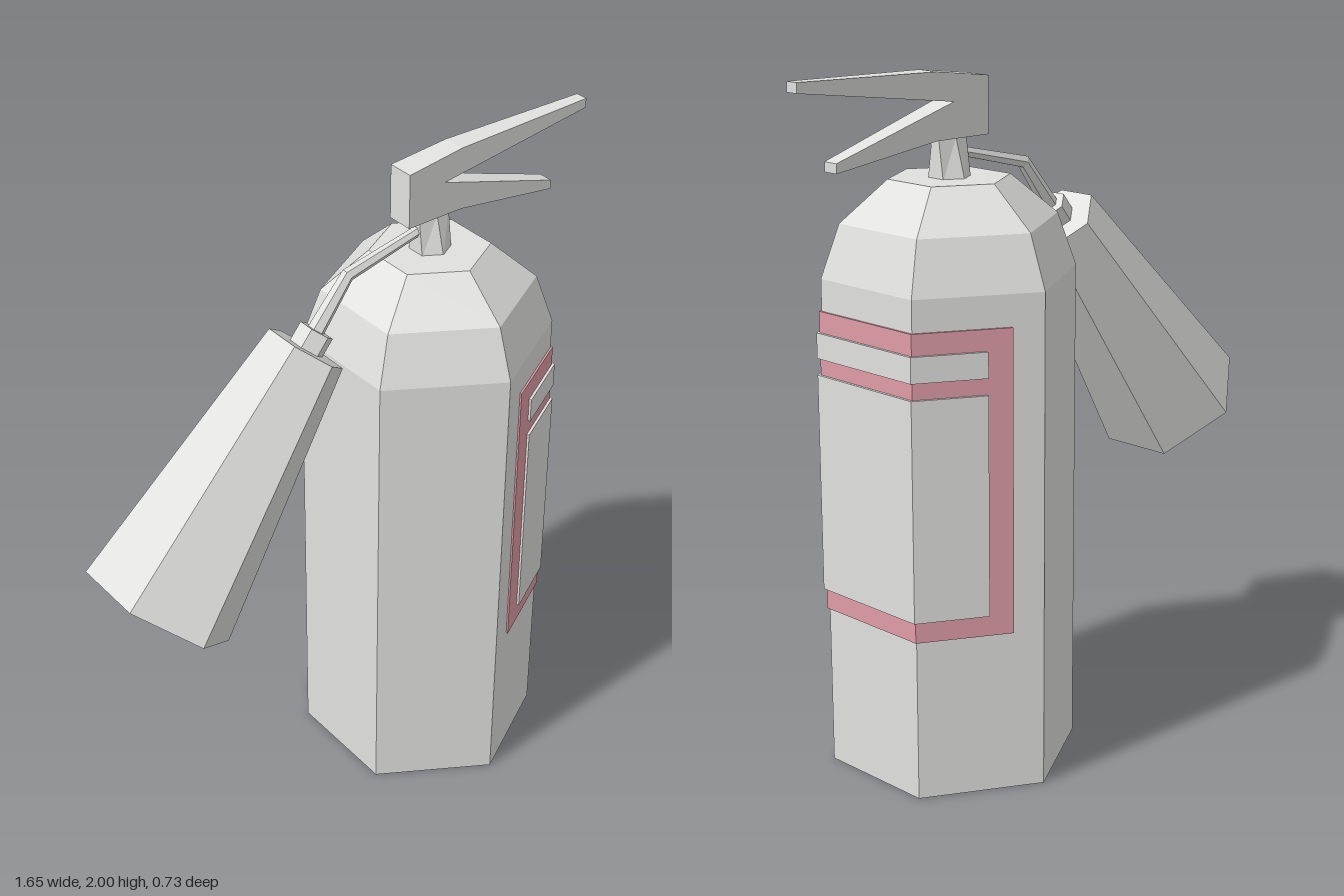
import * as THREE from 'three';

const grey = new THREE.MeshStandardMaterial({ color: 0xe0e0de });
grey.name = 'pale grey';
const pink = new THREE.MeshStandardMaterial({ color: 0xe09ca7 });
pink.name = 'label pink';

const CX = 0.28, R = 0.363, APOTHEM = R * Math.cos(Math.PI / 6), TAN30 = Math.tan(Math.PI / 6);

// Faceted mesh: every face gets its own normal
function part(name, geometry, material = grey) {
  const g = geometry.index ? geometry.toNonIndexed() : geometry;
  g.computeVertexNormals();
  const mesh = new THREE.Mesh(g, material);
  mesh.name = name;
  return mesh;
}

const hex = (rTop, rBottom, height, rows = 1) => new THREE.CylinderGeometry(rTop, rBottom, height, 6, rows);

// Point (x, z) on the front-side face of the tank, pushed out by d
const onFace = (x, d) => [x, (R + d / Math.cos(Math.PI / 6)) - (x - CX) * TAN30];

function plate(name, points, y0, y1, material) {
  const shape = new THREE.Shape(points.map(p => new THREE.Vector2(p[0], p[1])));
  const g = new THREE.ExtrudeGeometry(shape, { depth: y1 - y0, bevelEnabled: false });
  g.rotateX(-Math.PI / 2).translate(0, y0, 0);
  return part(name, g, material);
}

// Band wrapped over three tank faces, starting and ending at x0
function band(name, x0, y0, y1, d, material) {
  const path = k => {
    const half = [onFace(x0, k), onFace(CX + APOTHEM + k, k)];
    return [...half, ...half.map(([x, z]) => [x, -z]).reverse()];
  };
  return plate(name, [...path(d), ...path(-0.002).reverse()], y0, y1, material);
}

function createLabel() {
  const label = new THREE.Group();
  label.name = 'label';
  const d = 0.006, outer = 0.36, inner = 0.425;
  for (const [y0, y1] of [[0.47, 0.53], [1.16, 1.207], [1.28, 1.34]])
    label.add(band('labelBar', outer, y0, y1, d, pink));
  // Upright ends of the frame
  for (const s of [1, -1]) {
    const pts = [onFace(outer, d), onFace(inner, d), onFace(inner, -0.002), onFace(outer, -0.002)];
    for (const [y0, y1] of [[0.53, 1.16], [1.207, 1.28]])
      label.add(plate('labelSide', pts.map(([x, z]) => [x, z * s]), y0, y1, pink));
  }
  // Raised blank panels
  label.add(band('labelPanel', inner, 0.53, 1.16, 0.014, grey));
  label.add(band('labelHeading', inner, 1.207, 1.28, 0.014, grey));
  return label;
}

function createTank() {
  const profile = [[0, 0], [R, 0], [R, 1.43], [0.309, 1.58], [0.173, 1.695], [0, 1.695]];
  const g = new THREE.LatheGeometry(profile.map(p => new THREE.Vector2(...p)), 6);
  const tank = part('tank', g);
  tank.position.x = CX;
  return tank;
}

// Valve neck, pinched in z towards the top
function createNeck() {
  const g = hex(0.06, 0.06, 0.115);
  const p = g.attributes.position;
  for (let i = 0; i < p.count; i++) if (p.getY(i) > 0) p.setZ(i, p.getZ(i) * 0.45);
  g.translate(CX, 1.7475, 0);
  return part('valveNeck', g);
}

// Forked grip, narrowing towards the lever tips
function createHandle() {
  const outline = [[0.17, 1.803], [0.36, 1.803], [0.703, 1.755], [0.703, 1.782], [0.296, 1.903],
    [0.823, 1.972], [0.823, 2], [0.355, 1.988], [0.17, 1.964]];
  const shape = new THREE.Shape(outline.map(p => new THREE.Vector2(...p)));
  const g = new THREE.ExtrudeGeometry(shape, { depth: 2, bevelEnabled: false }).translate(0, 0, -1);
  const p = g.attributes.position;
  for (let i = 0; i < p.count; i++) p.setZ(i, p.getZ(i) * (0.042 - (p.getX(i) - 0.17) * 0.034));
  return part('handle', g);
}

// Hose: rings of a hexagonal tube placed along a bent path with a mitred joint
function createHose() {
  const rings = [
    { at: [-0.125, 1.555], n: [0.78, -0.62], r: 0.026 },
    { at: [-0.008, 1.702], n: [0.55, -0.9], r: 0.019 },
    { at: [0.24, 1.761], n: [0.23, -0.97], r: 0.015 },
  ];
  const g = hex(1, 1, 2, 2);
  const p = g.attributes.position;
  for (let i = 0; i < p.count; i++) {
    const { at, n, r } = rings[Math.round(p.getY(i)) + 1];
    const x = p.getX(i) * r;
    p.setXYZ(i, at[0] + n[0] * x, at[1] + n[1] * x, p.getZ(i) * r);
  }
  return part('hose', g);
}

// Discharge horn and its collar, hung at a slant
function createHorn() {
  const horn = new THREE.Group();
  horn.name = 'horn';
  const length = 0.835;
  horn.add(part('hornCone', hex(0.119, 0.23, length).translate(0, -length / 2, 0)));
  horn.add(part('hornCollar', hex(0.052, 0.052, 0.08).translate(0, 0.018, 0)));
  horn.position.set(-0.15, 1.52, 0);
  horn.rotation.z = -0.675;
  return horn;
}

export function createModel() {
  const model = new THREE.Group();
  model.name = 'fireExtinguisher';
  model.add(createTank(), createLabel(), createNeck(), createHandle(), createHose(), createHorn());
  return model;
}
